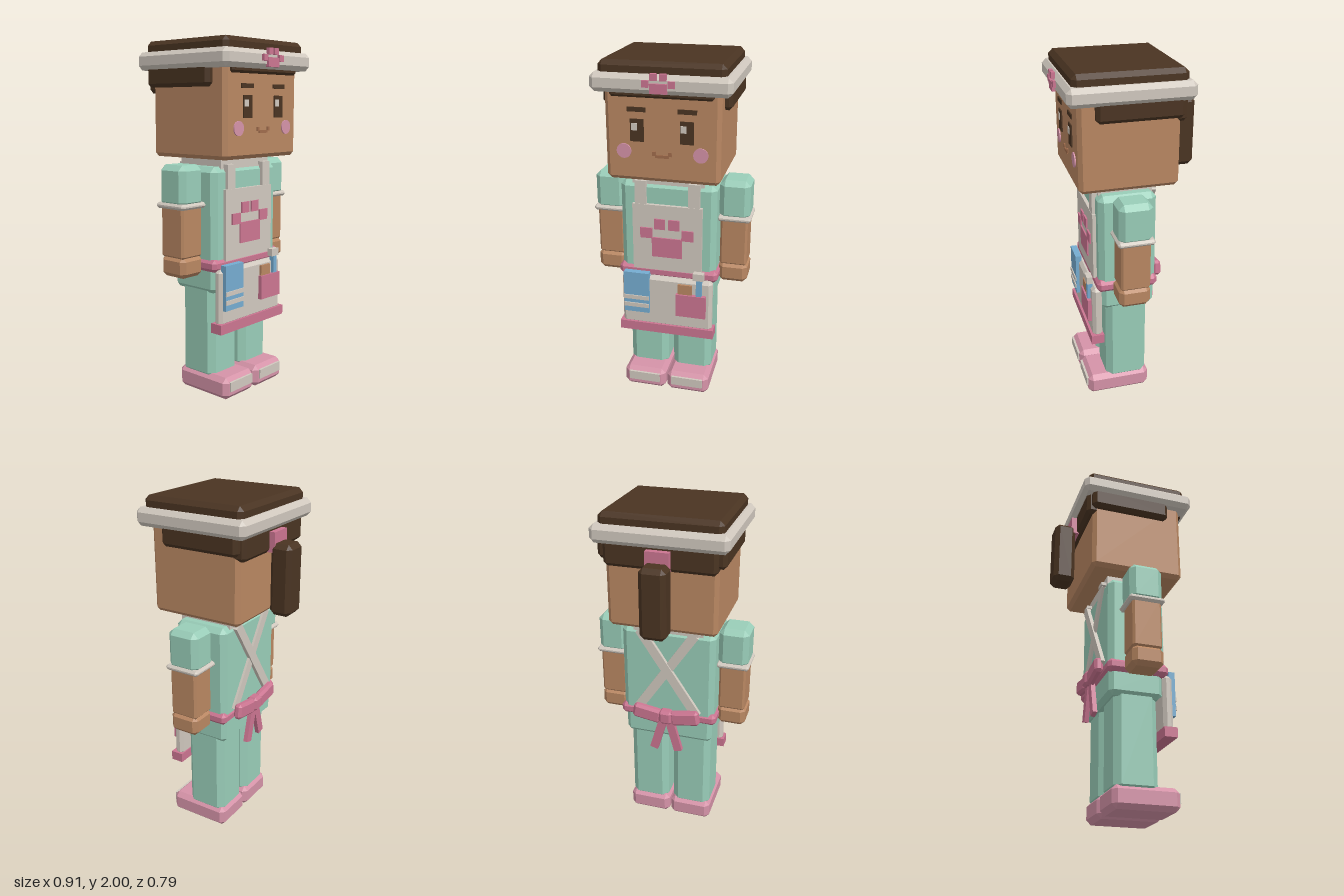
import * as THREE from 'three';
import { ConvexGeometry } from 'three/addons/geometries/ConvexGeometry.js';

const mat = (name, color) => {
  const m = new THREE.MeshStandardMaterial({ color });
  m.name = name;
  return m;
};

// box with flat 45 degree chamfers on all edges
function chamferBox(w, h, d, b) {
  if (!b) return new THREE.BoxGeometry(w, h, d);
  const pts = [], x = w / 2, y = h / 2, z = d / 2;
  for (const i of [-1, 1]) for (const j of [-1, 1]) for (const k of [-1, 1]) {
    pts.push(
      new THREE.Vector3(i * x, j * (y - b), k * (z - b)),
      new THREE.Vector3(i * (x - b), j * y, k * (z - b)),
      new THREE.Vector3(i * (x - b), j * (y - b), k * z));
  }
  return new ConvexGeometry(pts);
}

export function createModel() {
  const model = new THREE.Group();
  model.name = 'blockyApronFigure';
  const skin = mat('skin', 0xb98762), hair = mat('hair', 0x4a3422), mint = mat('mint', 0x99cdb8),
    cream = mat('cream', 0xd0c8be), pink = mat('pink', 0xcb7591), rose = mat('lightPink', 0xd593a8),
    blue = mat('blue', 0x75acd0), lip = mat('mouthBrown', 0xa06c4c);

  const put = (name, material, geometry) => {
    const mesh = new THREE.Mesh(geometry, material);
    mesh.name = name;
    model.add(mesh);
    return mesh;
  };
  // box from its extents on each axis
  const box = (name, material, [x0, x1], [y0, y1], [z0, z1], bevel = 0) => {
    const mesh = put(name, material, chamferBox(x1 - x0, y1 - y0, z1 - z0, bevel));
    mesh.position.set((x0 + x1) / 2, (y0 + y1) / 2, (z0 + z1) / 2);
    return mesh;
  };
  // the same box on both sides
  const pair = (name, material, [x0, x1], y, z, bevel) => {
    box(name + 'Left', material, [x0, x1], y, z, bevel);
    box(name + 'Right', material, [-x1, -x0], y, z, bevel);
  };
  // flat bar between two points in the xy plane
  const bar = (name, material, [x0, y0], [x1, y1], width, z, depth, bevel) => {
    const mesh = put(name, material, chamferBox(Math.hypot(x1 - x0, y1 - y0), width, depth, bevel));
    mesh.position.set((x0 + x1) / 2, (y0 + y1) / 2, z);
    mesh.rotation.z = Math.atan2(y1 - y0, x1 - x0);
  };

  // head and hair
  box('head', skin, [-0.31, 0.31], [1.36, 1.9], [-0.23, 0.32], 0.022);
  box('hairTop', hair, [-0.335, 0.335], [1.86, 2], [-0.262, 0.347], 0.025);
  box('fringe', hair, [-0.275, 0.275], [1.815, 1.9], [0.28, 0.345], 0.012);
  pair('sideHair', hair, [0.28, 0.35], [1.745, 1.9], [-0.24, 0.23], 0.02);
  box('backHair', hair, [-0.31, 0.31], [1.715, 1.9], [-0.267, -0.18], 0.02);
  box('headband', cream, [-0.372, 0.372], [1.84, 1.94], [-0.297, 0.38], 0.025);
  box('hairTie', pink, [-0.065, 0.065], [1.72, 1.83], [-0.3, -0.25]);
  box('ponytail', hair, [-0.074, 0.074], [1.375, 1.77], [-0.398, -0.272], 0.025);

  // paw on the headband
  const bandZ = [0.375, 0.395];
  box('bandPawPad', pink, [-0.045, 0.045], [1.85, 1.9], bandZ);
  pair('bandPawOuterToe', pink, [0.05, 0.085], [1.88, 1.915], bandZ);
  pair('bandPawInnerToe', pink, [0.007, 0.042], [1.915, 1.95], bandZ);

  // face
  pair('eye', hair, [0.097, 0.17], [1.58, 1.7], [0.318, 0.327]);
  for (const x of [-0.163, 0.1]) box('eyeGlint', cream, [x, x + 0.032], [1.64, 1.678], [0.324, 0.33]);
  pair('eyebrow', hair, [0.085, 0.185], [1.738, 1.762], [0.318, 0.327]);
  for (const x of [-0.207, 0.207]) {
    const cheek = put('cheek', rose, new THREE.CylinderGeometry(0.04, 0.04, 0.009, 20));
    cheek.rotation.x = Math.PI / 2;
    cheek.position.set(x, 1.525, 0.3225);
  }
  box('mouth', lip, [-0.037, 0.037], [1.497, 1.513], [0.318, 0.327]);
  pair('mouthCorner', lip, [0.034, 0.052], [1.508, 1.53], [0.318, 0.327]);

  // body
  box('collar', cream, [-0.205, 0.205], [1.27, 1.37], [-0.11, 0.195]);
  box('torso', mint, [-0.275, 0.275], [0.75, 1.315], [-0.12, 0.21], 0.03);
  box('hips', mint, [-0.265, 0.265], [0.605, 0.78], [-0.113, 0.195], 0.025);
  box('belt', pink, [-0.29, 0.29], [0.735, 0.805], [-0.127, 0.225], 0.02);

  // arms
  pair('sleeve', mint, [0.275, 0.448], [1.1, 1.33], [-0.05, 0.14], 0.03);
  pair('cuff', cream, [0.268, 0.457], [1.092, 1.124], [-0.06, 0.148], 0.012);
  pair('arm', skin, [0.285, 0.44], [0.82, 1.12], [-0.038, 0.13], 0.012);
  pair('hand', skin, [0.28, 0.446], [0.713, 0.832], [-0.04, 0.138], 0.025);

  // legs and shoes
  pair('leg', mint, [0.017, 0.25], [0.09, 0.66], [-0.078, 0.167], 0.035);
  pair('shoe', rose, [0.005, 0.258], [0, 0.127], [-0.092, 0.283], 0.027);
  pair('toeCap', cream, [0.037, 0.226], [0.05, 0.105], [0.277, 0.291]);

  // apron
  box('bib', cream, [-0.2, 0.2], [0.79, 1.19], [0.2, 0.23]);
  pair('frontStrap', cream, [0.12, 0.185], [1.18, 1.327], [0.2, 0.228]);
  pair('shoulderStrap', cream, [0.12, 0.185], [1.308, 1.327], [-0.14, 0.21]);
  for (const s of [-1, 1]) {
    bar('backStrap', cream, [s * 0.16, 1.31], [-s * 0.18, 0.8], 0.055, -0.125 - s * 0.004, 0.026, 0);
  }
  box('apronSkirt', cream, [-0.267, 0.267], [0.43, 0.75], [0.195, 0.252], 0.018);
  box('apronTrim', pink, [-0.28, 0.28], [0.39, 0.446], [0.19, 0.265]);

  // paw on the bib
  const pawZ = [0.225, 0.239];
  box('pawPad', pink, [-0.087, 0.087], [0.878, 0.996], pawZ);
  pair('pawOuterToe', pink, [0.085, 0.154], [0.99, 1.052], pawZ);
  pair('pawInnerToe', pink, [0.01, 0.073], [1.048, 1.11], pawZ);

  // towel, pocket and tools
  box('towel', blue, [-0.25, -0.1], [0.52, 0.777], [0.235, 0.272]);
  for (const y of [0.555, 0.605]) box('towelStripe', cream, [-0.25, -0.1], [y, y + 0.025], [0.27, 0.278]);
  box('pocket', pink, [0.06, 0.235], [0.525, 0.665], [0.235, 0.275]);
  box('woodenTool', skin, [0.07, 0.152], [0.62, 0.725], [0.24, 0.265]);
  box('brushHandle', blue, [0.178, 0.21], [0.62, 0.775], [0.24, 0.27]);
  box('brushHead', cream, [0.16, 0.222], [0.767, 0.81], [0.24, 0.274]);

  // bow at the back
  box('bowKnot', pink, [-0.04, 0.04], [0.735, 0.82], [-0.187, -0.12], 0.015);
  for (const s of [-1, 1]) {
    bar('bowLoop', pink, [s * 0.03, 0.77], [s * 0.2, 0.797], 0.09, -0.153, 0.05, 0.015);
    bar('bowTail', pink, [s * 0.012, 0.77], [s * 0.075, 0.545], 0.05, -0.147 - s * 0.003, 0.026, 0);
  }
  return model;
}
